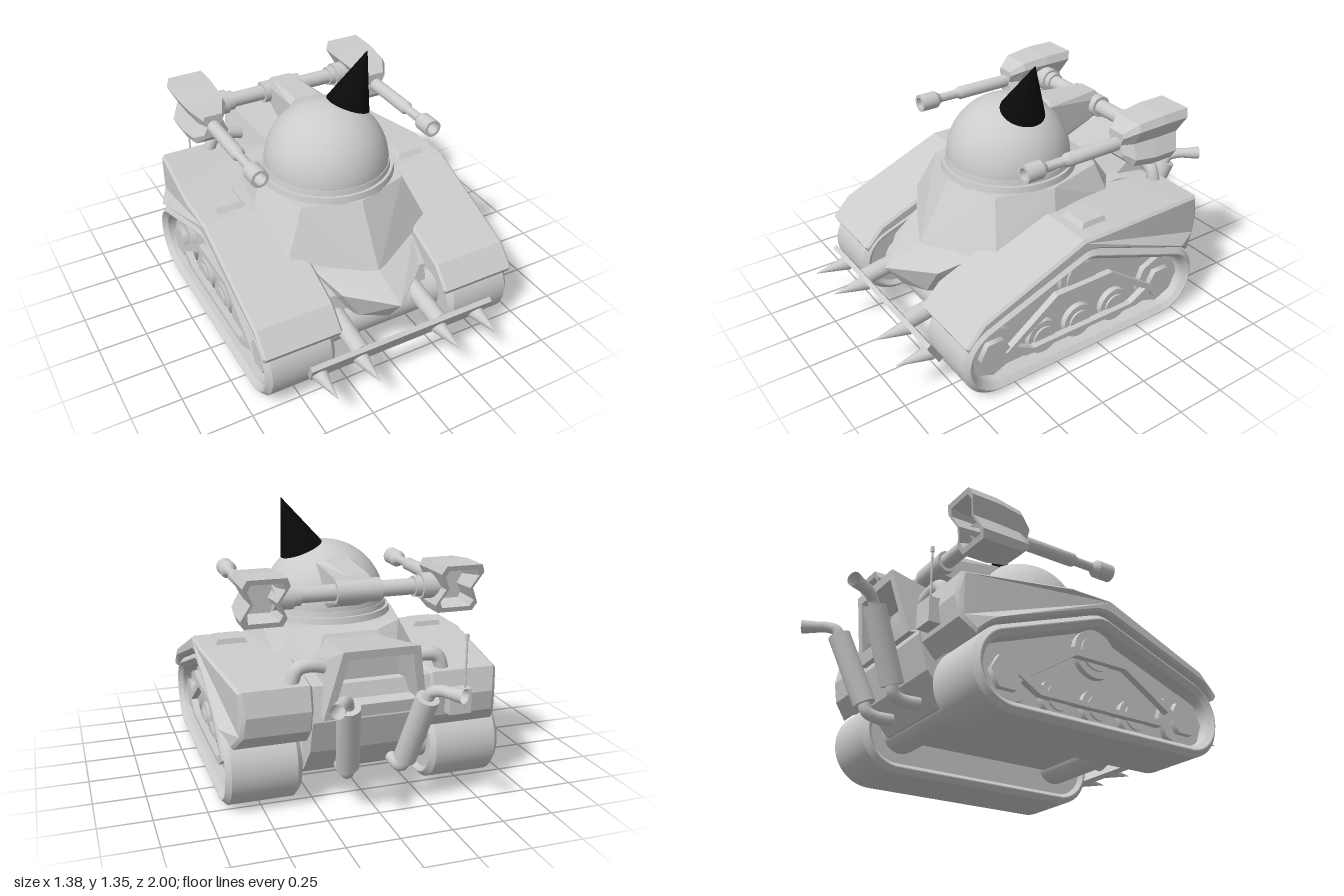
import * as THREE from 'three';
import { toCreasedNormals } from 'three/addons/utils/BufferGeometryUtils.js';
import { ConvexGeometry } from 'three/addons/geometries/ConvexGeometry.js';

const V = (x, y, z) => new THREE.Vector3(x, y, z);

export function createModel() {
  const model = new THREE.Group();
  const grey = new THREE.MeshStandardMaterial({ color: 0xcccccc, side: THREE.DoubleSide });
  const black = new THREE.MeshStandardMaterial({ color: 0x0a0a0a });

  const add = (name, geo, x = 0, y = 0, z = 0, mat = grey) => {
    const m = new THREE.Mesh(geo, mat);
    m.name = name;
    m.position.set(x, y, z);
    model.add(m);
    return m;
  };
  const rod = (name, a, b, r0, r1 = r0, sides = 20) => {
    const m = add(name, new THREE.CylinderGeometry(r1, r0, a.distanceTo(b), sides));
    m.position.copy(a).lerp(b, 0.5);
    m.quaternion.setFromUnitVectors(V(0, 1, 0), b.clone().sub(a).normalize());
    return m;
  };
  const tube = (name, pts, r) =>
    add(name, new THREE.TubeGeometry(new THREE.CatmullRomCurve3(pts), 20, r, 14));
  const convex = (name, pts) => add(name, new ConvexGeometry(pts.map(p => V(...p))));
  const bothX = pts => pts.flatMap(([x, y, z]) => (x ? [[x, y, z], [-x, y, z]] : [[x, y, z]]));

  // side profile of [z, y] points, extruded across x from x0 to x1
  const slab = (pts, x0, x1, bevel = 0, hole = null) => {
    const shape = new THREE.Shape(pts.map(p => new THREE.Vector2(...p)));
    if (hole) shape.holes.push(new THREE.Path(hole.map(p => new THREE.Vector2(...p))));
    const geo = new THREE.ExtrudeGeometry(shape, {
      depth: x1 - x0 - 2 * bevel, bevelEnabled: bevel > 0, bevelSegments: 1,
      bevelSize: bevel, bevelThickness: bevel, bevelOffset: -bevel,
    });
    return toCreasedNormals(geo.rotateY(-Math.PI / 2).translate(x1 - bevel, 0, 0), 0.35);
  };
  const sided = (s, a, b) => (s > 0 ? [a, b] : [-b, -a]);

  // flat skin over rings of points, listed front to back, closed at both ends
  const loft = rings => {
    const out = [], n = rings[0].length;
    const tri = (...ps) => ps.forEach(p => out.push(...p));
    const mid = r => [0, 1, 2].map(k => r.reduce((t, p) => t + p[k], 0) / n);
    for (let j = 0; j < n; j++) {
      const k = (j + 1) % n;
      for (let i = 0; i < rings.length - 1; i++) {
        const a = rings[i], b = rings[i + 1];
        tri(a[j], b[j], b[k]);
        tri(a[j], b[k], a[k]);
      }
      const f = rings[0], e = rings[rings.length - 1];
      tri(mid(f), f[j], f[k]);
      tri(mid(e), e[k], e[j]);
    }
    const geo = new THREE.BufferGeometry();
    geo.setAttribute('position', new THREE.Float32BufferAttribute(out, 3));
    geo.computeVertexNormals();
    return geo;
  };

  // track outline: a belt pulled tight round three circles
  const circles = [[0.58, 0.2, 0.2], [0.085, 0.44, 0.145], [-0.41, 0.2, 0.2]];
  const outline = (grow, from = 0, to = Math.PI * 2, n = 72) => {
    const pts = [];
    for (let i = 0; i < n; i++) {
      const t = from + ((to - from) * i) / n, c = Math.cos(t), s = Math.sin(t);
      const reach = o => o[0] * c + o[1] * s + o[2];
      const o = circles.reduce((p, q) => (reach(q) > reach(p) ? q : p));
      pts.push([o[0] + (o[2] + grow) * c, o[1] + (o[2] + grow) * s]);
    }
    return pts;
  };

  for (const s of [1, -1]) {
    // track, inner plate and wheels
    add('trackBelt', slab(outline(0), ...sided(s, 0.32, 0.68), 0.025, outline(-0.055)));
    add('trackPlate', slab(outline(-0.045), ...sided(s, 0.34, 0.58)));
    const wheel = (name, z, y, r, sides, x1) => rod(name, V(s * 0.55, y, z), V(s * x1, y, z), r, r, sides);
    for (const z of [0.3, 0.085, -0.14]) {
      wheel('roadWheel', z, 0.145, 0.09, 28, 0.61);
      wheel('roadHub', z, 0.145, 0.06, 28, 0.62);
    }
    wheel('topWheel', 0.085, 0.41, 0.12, 28, 0.61);
    wheel('topHub', 0.085, 0.41, 0.085, 28, 0.62);
    for (const z of [0.59, -0.42]) {
      wheel('driveWheel', z, 0.19, 0.135, 8, 0.61);
      wheel('driveHub', z, 0.19, 0.085, 6, 0.64);
    }
    const frame = [[0.54, 0.185], [0.25, 0.39], [-0.08, 0.39], [-0.37, 0.185], [-0.26, 0.12], [0.43, 0.12]];
    const inner = frame.map(([z, y]) => [0.085 + (z - 0.085) * 0.87, 0.23 + (y - 0.23) * 0.78]);
    add('wheelFrame', slab(frame, ...sided(s, 0.615, 0.65), 0, inner));

    // fender, narrowing towards the rear
    const fender = slab([
      ...outline(0.01, 0.55, Math.PI - 0.6, 40),
      [-0.645, 0.4], [-0.665, 0.5], [-0.64, 0.615], [-0.1, 0.665], [0.13, 0.665], [0.68, 0.44], [0.775, 0.34],
    ], ...sided(s, 0.285, 0.69), 0.012);
    const p = fender.attributes.position;
    for (let i = 0; i < p.count; i++)
      if (Math.abs(p.getX(i)) > 0.5 && p.getZ(i) < -0.5) p.setX(i, p.getX(i) + s * (p.getZ(i) + 0.5) * 0.5);
    add('fender', toCreasedNormals(fender, 0.35));
    convex('fenderVent', [[0.43, 0.64, 0.1], [0.61, 0.64, 0.1], [0.43, 0.64, -0.07], [0.61, 0.64, -0.07],
      [0.46, 0.69, 0.06], [0.59, 0.69, 0.06], [0.46, 0.69, -0.06], [0.59, 0.69, -0.06]]
      .map(([x, y, z]) => [s * x, y, z]));

    // gun pod with a waisted section and a recessed slanted back
    const half = [[0.068, 0], [0.108, 0.08], [0.09, 0.12], [-0.09, 0.12], [-0.108, 0.08]];
    const section = [...half, ...half.map(([x, y]) => [-x, -y])];
    const ring = (z, k, slant) => section.map(([x, y]) => [x * k, y * k, z - slant * y * k]);
    add('gunPod', loft([ring(-0.215, 0.5, 0), ring(-0.275, 0.88, 0.1), ring(-0.4, 1, 0.25),
      ring(-0.54, 1, 0.36), ring(-0.54, 0.8, 0.36), ring(-0.42, 0.6, 0.1)]), s * 0.468, 0.975);

    // barrel with hollow muzzle
    const barrel = [[0, -0.26], [0.034, -0.26], [0.034, 0.08], [0.023, 0.1], [0.023, 0.2], [0.045, 0.23],
      [0.045, 0.32], [0.03, 0.32], [0.03, 0.25], [0, 0.25]].map(q => new THREE.Vector2(...q));
    add('gunBarrel', toCreasedNormals(new THREE.LatheGeometry(barrel, 20).rotateX(Math.PI / 2), 0.5), s * 0.47, 0.972);
    rod('podCollar', V(s * 0.315, 0.975, -0.42), V(s * 0.41, 0.975, -0.42), 0.062);
    rod('barSleeve', V(s * 0.28, 0.975, -0.42), V(s * 0.32, 0.975, -0.42), 0.05);

    // exhaust: elbow, muffler, flared tail
    tube('exhaustElbow', [V(s * 0.13, 0.18, -0.56), V(s * 0.13, 0.18, -0.65), V(s * 0.135, 0.2, -0.69), V(s * 0.145, 0.27, -0.71)], 0.03);
    rod('muffler', V(s * 0.14, 0.235, -0.7), V(s * 0.185, 0.57, -0.835), 0.054);
    tube('exhaustTail', [V(s * 0.183, 0.56, -0.83), V(s * 0.195, 0.6, -0.85), V(s * 0.225, 0.617, -0.89), V(s * 0.25, 0.617, -0.93)], 0.027);
    const tail = rod('exhaustTip', V(s * 0.245, 0.617, -0.92), V(s * 0.285, 0.617, -0.985), 0.027, 0.034);
    tail.geometry = new THREE.CylinderGeometry(0.034, 0.027, 0.08, 16, 1, true);
    tube('enginePipe', [V(s * 0.15, 0.66, -0.58), V(s * 0.27, 0.69, -0.58), V(s * 0.34, 0.675, -0.58), V(s * 0.375, 0.58, -0.58)], 0.034);

    // bumper strut and spikes
    rod('bumperStrut', V(s * 0.22, 0.28, 0.5), V(s * 0.22, 0.225, 0.83), 0.045);
    for (const x of [0.22, 0.44]) rod('bumperSpike', V(s * x, 0.19, 0.82), V(s * x, 0.19, 1), 0.04, 0.001);
  }

  // hull, nose and axles
  add('hull', slab([[0.45, 0.15], [0.6, 0.26], [0.58, 0.38], [0.42, 0.51], [0.2, 0.62], [-0.4, 0.64],
    [-0.62, 0.6], [-0.66, 0.44], [-0.61, 0.28], [-0.5, 0.15]], -0.29, 0.29));
  convex('nose', bothX([[0.28, 0.5, 0.3], [0.28, 0.48, 0.48], [0, 0.48, 0.58], [0.215, 0.42, 0.64], [0, 0.4, 0.81],
    [0.13, 0.28, 0.66], [0, 0.27, 0.72], [0.2, 0.2, 0.4]]));
  for (const z of [0.55, -0.4]) rod('axle', V(-0.35, 0.2, z), V(0.35, 0.2, z), 0.1, 0.1, 28);

  // front bumper plate, leaning forward
  convex('bumper', bothX([[0.5, 0.265, 0.87], [0.5, 0.28, 0.85], [0.475, 0.14, 0.8], [0.475, 0.155, 0.775]]));

  // engine hood with recessed back
  const hoodRing = (low, top) => [[low[0], low[1], low[2]], [top[0], top[1], top[2]],
    [-top[0], top[1], top[2]], [-low[0], low[1], low[2]]];
  add('engineHood', loft([
    hoodRing([0.26, 0.55, -0.28], [0.12, 0.72, -0.28]),
    hoodRing([0.25, 0.46, -0.69], [0.18, 0.79, -0.755]),
    hoodRing([0.2, 0.52, -0.702], [0.15, 0.75, -0.747]),
    hoodRing([0.17, 0.54, -0.58], [0.12, 0.71, -0.6]),
  ]));

  // faceted turret base
  convex('turretBase', bothX([[0, 0.77, 0.44], [0.28, 0.77, 0.35], [0.36, 0.77, 0.06], [0.28, 0.77, -0.25], [0.14, 0.75, -0.33],
    [0, 0.46, 0.615], [0.39, 0.53, 0.42], [0.425, 0.62, 0.1], [0.36, 0.62, -0.28], [0.2, 0.6, -0.42], [0.28, 0.5, 0.38]]));

  // turret ring, dome and horn
  add('turretRing', new THREE.CylinderGeometry(0.335, 0.342, 0.035, 48), 0, 0.783, 0.085);
  add('turretCollar', new THREE.CylinderGeometry(0.316, 0.322, 0.035, 48), 0, 0.81, 0.085);
  add('dome', new THREE.SphereGeometry(0.313, 48, 20, 0, Math.PI * 2, 0, Math.PI / 2), 0, 0.817, 0.085);
  add('horn', new THREE.ConeGeometry(0.112, 0.284, 40), 0.173, 1.222, 0.082, black).rotation.z = -0.371;

  // crossbar carrying the guns, and its arm
  rod('crossbar', V(-0.4, 0.975, -0.42), V(0.4, 0.975, -0.42), 0.039);
  rod('crossbarHub', V(-0.11, 0.975, -0.42), V(0.11, 0.975, -0.42), 0.056);
  convex('turretArm', bothX([[0.1, 1.05, -0.1], [0.1, 0.84, -0.1], [0.065, 1.07, -0.12], [0.055, 1.05, -0.42],
    [0.07, 1.0, -0.46], [0.07, 0.93, -0.45], [0.08, 0.85, -0.22]]));

  // radio box and antenna on the right rear
  add('radioBox', new THREE.BoxGeometry(0.11, 0.12, 0.06), -0.41, 0.48, -0.68);
  rod('antenna', V(-0.44, 0.5, -0.69), V(-0.44, 0.78, -0.69), 0.005, 0.005, 8);
  rod('antennaTip', V(-0.44, 0.775, -0.69), V(-0.44, 0.8, -0.69), 0.009, 0.009, 8);

  return model;
}
